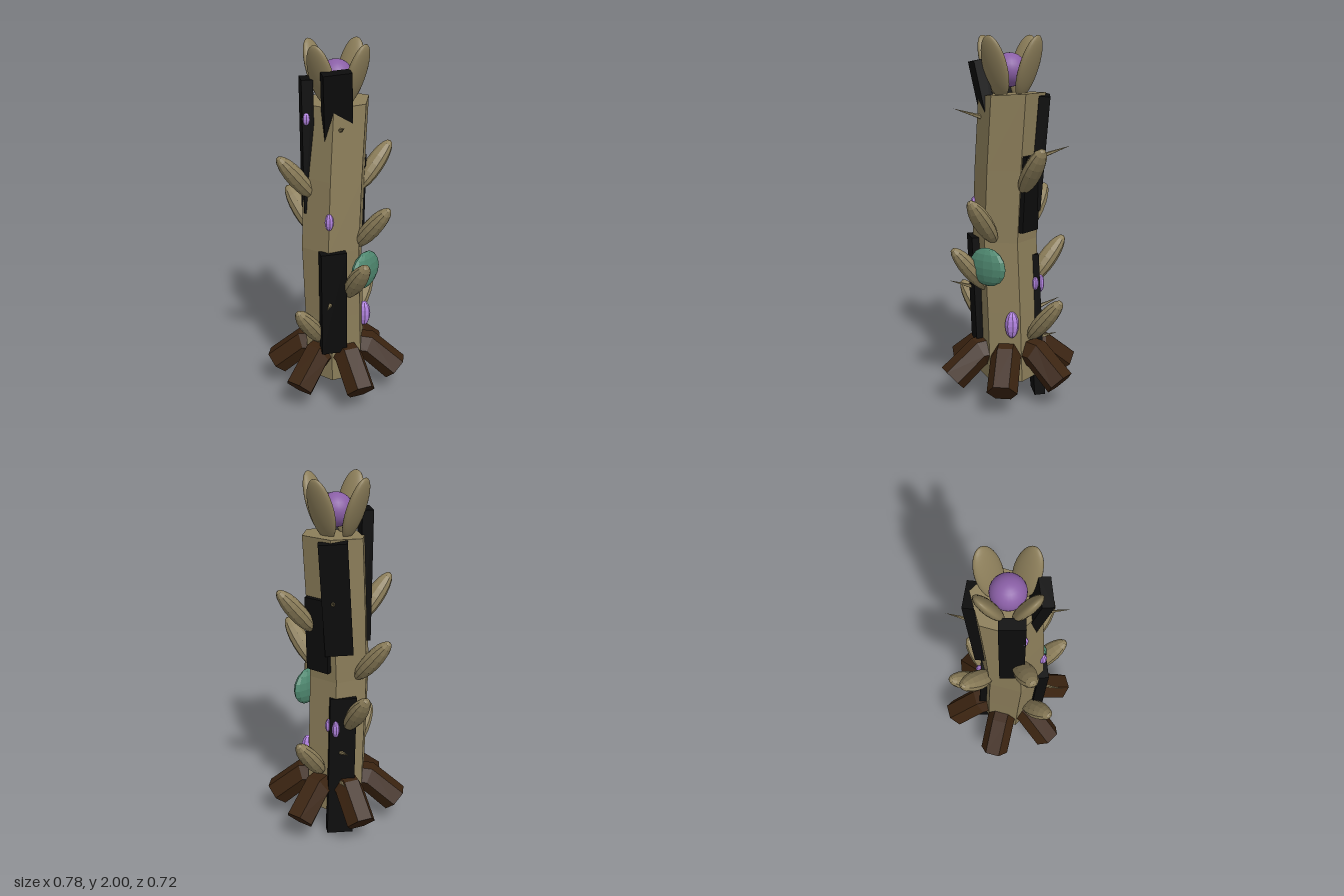
import * as THREE from 'three';

const V = (x, y, z) => new THREE.Vector3(x, y, z);
const rad = THREE.MathUtils.degToRad;

function material(name, color) {
  const m = new THREE.MeshStandardMaterial({ color });
  m.name = name;
  return m;
}

// Faceted version of a geometry
function faceted(geo) {
  const g = geo.index ? geo.toNonIndexed() : geo;
  g.computeVertexNormals();
  return g;
}

// Lay the rings of a standing cylinder along a rule: place(t, vertex), t from 0 (bottom) to 1
function shapeCylinder(geo, place) {
  const p = geo.attributes.position;
  const v = V(0, 0, 0);
  for (let i = 0; i < p.count; i++) {
    v.fromBufferAttribute(p, i);
    place(v.y + 0.5, v);
    p.setXYZ(i, v.x, v.y, v.z);
  }
  return faceted(geo);
}

export function createModel() {
  const group = new THREE.Group();
  const wood = material('pale wood', 0x8c7e5a);
  const bark = material('black bark', 0x0c0c0c);
  const rootBrown = material('root brown', 0x3a2310);
  const purple = material('orb purple', 0x8a5fa6);
  const lilac = material('bud lilac', 0xb283e0);
  const green = material('moss green', 0x4f8870);

  const add = (name, geo, mat, parent = group) => {
    const mesh = new THREE.Mesh(geo, mat);
    mesh.name = name;
    parent.add(mesh);
    return mesh;
  };

  // Six-sided trunk, slightly bowed
  const bowX = [0, -0.015, -0.035, -0.015, 0.015];
  add('trunk', shapeCylinder(new THREE.CylinderGeometry(0.18, 0.175, 1, 6, 4), (t, v) => {
    v.x += bowX[Math.round(t * 4)];
    v.y = 0.13 + t * 1.565 + (t > 0.9 ? v.x * 0.06 : 0);
  }), wood);

  // Six bent roots: each ring has a distance out, a height and a downward pitch
  const rootRings = [[0.05, 0.285, 0], [0.185, 0.275, 22], [0.343, 0.142, 42]];
  const rootGeo = shapeCylinder(new THREE.CylinderGeometry(0.083, 0.083, 1, 6, 2), (t, v) => {
    const [out, height, pitch] = rootRings[Math.round(t * 2)];
    const s = v.x, side = v.z;
    v.set(out - s * Math.sin(rad(pitch)) * -1, height + s * Math.cos(rad(pitch)), side);
    v.z = -side;
  });
  // keep the faces pointing outward
  rootGeo.computeBoundingBox();
  orientOutward(rootGeo, rootRings);
  for (let i = 0; i < 6; i++) add('root', rootGeo, rootBrown).rotation.y = i * Math.PI / 3;

  // Side leaves in opposite pairs climbing the trunk
  const leafGeo = faceted(new THREE.SphereGeometry(1, 10, 10).scale(0.05, 0.165, 0.056));
  [[0.48, 0], [0.76, 116], [1.04, 90], [1.31, 24]].forEach(([y, angle]) => {
    for (const turn of [0, 180]) {
      const pivot = new THREE.Group();
      pivot.name = 'leafPivot';
      pivot.rotation.y = -rad(angle + turn);
      group.add(pivot);
      const leaf = add('leaf', leafGeo, wood, pivot);
      leaf.position.set(0.238, y, 0);
      leaf.rotation.z = -rad(40);
    }
  });

  // Crown of four petals around an orb
  const petalGeo = new THREE.SphereGeometry(1, 24, 16).scale(0.033, 0.172, 0.077);
  for (let i = 0; i < 4; i++) {
    const pivot = new THREE.Group();
    pivot.name = 'petalPivot';
    pivot.rotation.y = i * Math.PI / 2;
    group.add(pivot);
    const petal = add('petal', petalGeo, wood, pivot);
    petal.position.set(0.125, 1.837, 0);
    petal.rotation.z = -rad(20);
  }
  add('orb', new THREE.SphereGeometry(0.09, 24, 16), purple).position.set(0, 1.82, 0);

  // Bark plates: top point, bottom point, outward angle, width
  const plates = [
    [[-0.14, 1.87, 0.105], [-0.035, 1.29, 0.04], 129, 0.15],
    [[-0.165, 0.92, 0.1], [-0.145, 0.32, 0.09], 129, 0.14],
    [[-0.125, 1.82, -0.1], [-0.12, 1.11, -0.095], 225, 0.13],
    [[0.158, 1.69, -0.095], [0.1, 1.08, -0.095], -36, 0.15],
    [[0.075, 0.82, -0.1], [0.12, 0.005, -0.11], -45, 0.145],
    [[0.14, 1.38, 0.01], [0.12, 0.97, 0.015], 0, 0.14],
  ];
  for (const [top, bottom, angle, width] of plates) {
    const a = V(...top), b = V(...bottom);
    const up = a.clone().sub(b);
    const plate = add('barkPlate', new THREE.BoxGeometry(width, up.length(), 0.06), bark);
    up.normalize();
    const out = V(Math.cos(rad(angle)), 0, Math.sin(rad(angle)));
    out.addScaledVector(up, -out.dot(up)).normalize();
    plate.quaternion.setFromRotationMatrix(new THREE.Matrix4().makeBasis(up.clone().cross(out), up, out));
    plate.position.copy(a).add(b).multiplyScalar(0.5);
  }

  // Thorns: base to tip
  const thorns = [
    [[-0.17, 0.615, 0.09], [-0.3, 0.65, 0.165]],
    [[-0.1, 1.57, 0.1], [-0.215, 1.62, 0.21]],
    [[0.15, 1.365, -0.09], [0.27, 1.42, -0.18]],
    [[0.11, 0.5, -0.11], [0.19, 0.55, -0.22]],
    [[0.11, 0.32, -0.11], [0.19, 0.345, -0.2]],
  ];
  for (const [base, tip] of thorns) {
    const a = V(...base), b = V(...tip);
    const dir = b.clone().sub(a);
    const thorn = add('thorn', faceted(new THREE.ConeGeometry(0.014, dir.length(), 5)), wood);
    thorn.position.copy(a).add(b).multiplyScalar(0.5);
    thorn.quaternion.setFromUnitVectors(V(0, 1, 0), dir.normalize());
  }

  // Small buds: position, half width, half height
  const budGeo = faceted(new THREE.SphereGeometry(1, 8, 8));
  [
    [[0.105, 0.46, 0.12], 0.038, 0.075],
    [[-0.175, 1.09, 0.085], 0.024, 0.047],
    [[0.14, 0.66, -0.05], 0.018, 0.038],
    [[0.14, 0.65, -0.1], 0.021, 0.05],
    [[-0.17, 1.62, -0.065], 0.022, 0.035],
  ].forEach(([p, w, h]) => {
    const bud = add('bud', budGeo, lilac);
    bud.position.set(...p);
    bud.scale.set(w, h, w);
  });

  // Moss cushion on the front
  const moss = add('mossCushion', faceted(new THREE.SphereGeometry(1, 12, 8)), green);
  moss.position.set(0, 0.787, 0.197);
  moss.scale.set(0.12, 0.105, 0.04);

  return group;
}

// Flip any triangle that faces toward the middle of the root
function orientOutward(geo, rings) {
  const p = geo.attributes.position;
  const a = V(0, 0, 0), b = V(0, 0, 0), c = V(0, 0, 0);
  for (let i = 0; i < p.count; i += 3) {
    [a, b, c].forEach((v, k) => v.fromBufferAttribute(p, i + k));
    const mid = a.clone().add(b).add(c).divideScalar(3);
    const normal = b.clone().sub(a).cross(c.clone().sub(a));
    if (normal.dot(mid.sub(V(rings[1][0], rings[1][1] - 0.03, 0))) < 0) {
      p.setXYZ(i + 1, c.x, c.y, c.z);
      p.setXYZ(i + 2, b.x, b.y, b.z);
    }
  }
  geo.computeVertexNormals();
}
